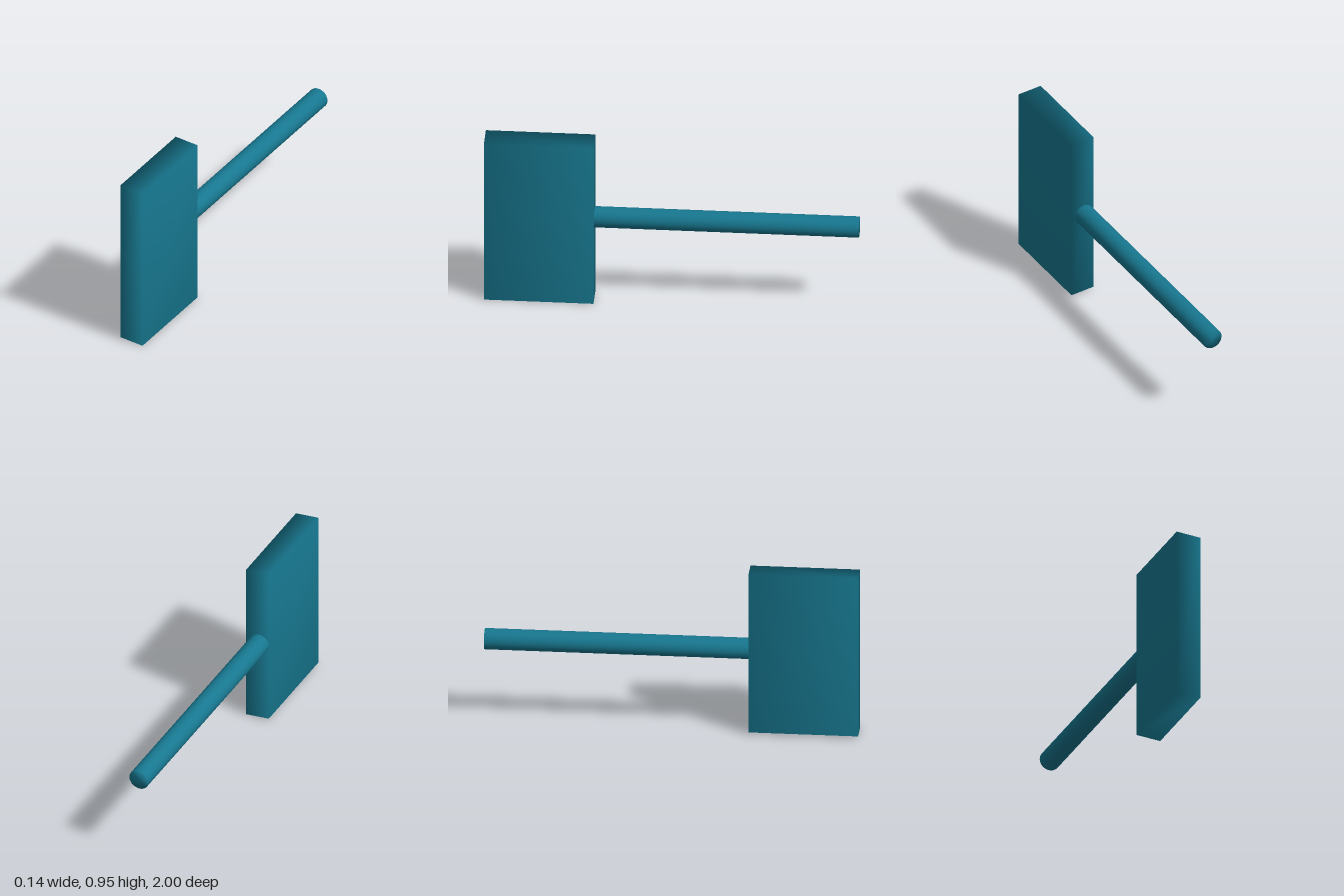
import * as THREE from 'three';
import { mergeVertices } from 'three/addons/utils/BufferGeometryUtils.js';

const teal = new THREE.MeshStandardMaterial({ color: 0x17778f });

// Weld shared corners so the shading flows smoothly over every edge
function soften(geometry) {
  geometry.deleteAttribute('normal');
  geometry.deleteAttribute('uv');
  const welded = mergeVertices(geometry, 1e-4);
  welded.computeVertexNormals();
  return welded;
}

function addPart(group, name, geometry, x, y, z) {
  const mesh = new THREE.Mesh(soften(geometry), teal);
  mesh.name = name;
  mesh.position.set(x, y, z);
  group.add(mesh);
}

export function createModel() {
  const group = new THREE.Group();
  group.name = 'mallet';

  // Head: tall slab, sheared so its top and bottom slope down towards +x
  const head = new THREE.BoxGeometry(0.135, 0.941, 0.586);
  head.applyMatrix4(new THREE.Matrix4().makeShear(-0.097, 0, 0, 0, 0, 0));
  addPart(group, 'head', head, 0, 0.477, 0.707);

  // Handle: round bar running back from the head, slightly off centre
  const handle = new THREE.CylinderGeometry(0.057, 0.057, 1.414, 32);
  handle.rotateX(Math.PI / 2);
  addPart(group, 'handle', handle, -0.011, 0.486, -0.293);

  // Settle the lowest corner exactly on the ground
  const box = new THREE.Box3().setFromObject(group);
  group.children.forEach((part) => { part.position.y -= box.min.y; });
  return group;
}
